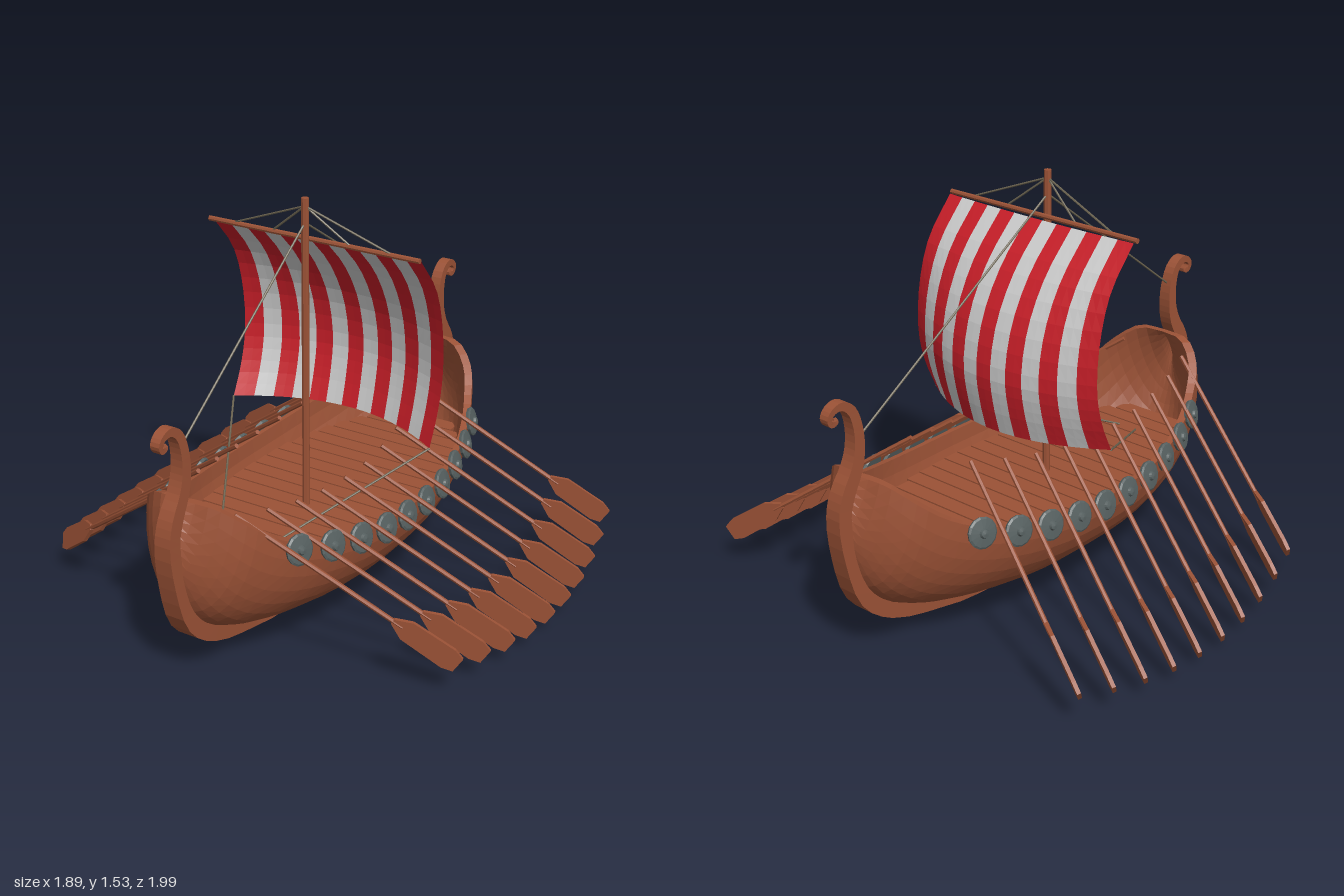
import * as THREE from 'three';

const mat = (color, side = THREE.FrontSide) => new THREE.MeshStandardMaterial({ color, side, flatShading: true });
const wood = mat(0x9b5236), hullWood = mat(0x9b5236, THREE.DoubleSide), iron = mat(0x566060), hemp = mat(0x6b6350);
const red = mat(0xc81e28, THREE.DoubleSide), white = mat(0xcccccc, THREE.DoubleSide);
const V = (x, y, z) => new THREE.Vector3(x, y, z);

function add(parent, name, geometry, material) {
  const mesh = new THREE.Mesh(geometry, material);
  mesh.name = name;
  parent.add(mesh);
  return mesh;
}

// Skin a list of cross-sections that share one point count
function loft(rows, closed) {
  const n = rows[0].length, index = [];
  for (let i = 0; i < rows.length - 1; i++) {
    for (let j = 0; j < (closed ? n : n - 1); j++) {
      const k = (j + 1) % n, a = i * n + j, b = i * n + k, c = a + n, d = b + n;
      index.push(a, b, c, b, d, c);
    }
  }
  const g = new THREE.BufferGeometry().setFromPoints(rows.flat());
  g.setIndex(index);
  g.computeVertexNormals();
  return g;
}

// Straight round bar between two points
function bar(parent, name, a, b, radius, material, sides = 6) {
  const mesh = add(parent, name, new THREE.CylinderGeometry(radius, radius, a.distanceTo(b), sides), material);
  mesh.position.copy(a).lerp(b, 0.5);
  mesh.quaternion.setFromUnitVectors(V(0, 1, 0), b.clone().sub(a).normalize());
  return mesh;
}

// Mirror a list of half-ship points to stern and bow, from z- to z+
const bothEnds = (half) => [...half.slice(1).reverse().map((p) => V(p.x, p.y, -p.z)), ...half];
const table = (rows, x) => {
  const i = Math.max(1, rows.findIndex((r) => r[0] >= x)), [a, b] = [rows[i - 1], rows[i]];
  return THREE.MathUtils.mapLinear(x, a[0], b[0], a[1], b[1]);
};

// Centreline and rim of the hull, amidships to bow, paired by station
const centre = bothEnds([V(0, 0.06, 0), V(0, 0.06, 0.25), V(0, 0.09, 0.5), V(0, 0.125, 0.66),
  V(0, 0.18, 0.78), V(0, 0.27, 0.87), V(0, 0.4, 0.92), V(0, 0.57, 0.945)]);
const rim = bothEnds([V(0.41, 0.42, 0), V(0.395, 0.43, 0.25), V(0.355, 0.46, 0.45), V(0.305, 0.5, 0.6),
  V(0.26, 0.55, 0.7), V(0.21, 0.62, 0.785), V(0.12, 0.685, 0.845), V(0, 0.69, 0.86)]);
const rimWidth = [[0, 0.41], [0.25, 0.395], [0.45, 0.355], [0.6, 0.305], [0.7, 0.26], [0.8, 0.2]];

function hullGeometry() {
  const kCurve = new THREE.CatmullRomCurve3(centre), rCurve = new THREE.CatmullRomCurve3(rim);
  const rows = [], stations = 36, steps = 9;
  for (let i = 0; i <= stations; i++) {
    const k = kCurve.getPoint(i / stations), r = rCurve.getPoint(i / stations);
    const section = (k0, r0) => {
      const out = [];
      for (let j = -steps; j <= steps; j++) {
        const a = (j / steps) * Math.PI / 2, p = k0.clone().lerp(r0, 1 - Math.cos(a));
        out.push(V(Math.max(r0.x, 0) * Math.sin(a), p.y, p.z));
      }
      return out;
    };
    const inner = section(V(0, k.y + 0.03, k.z * 0.97), V(r.x - 0.022, r.y, r.z * 0.97));
    rows.push([...section(k, r), ...inner.reverse()]);
  }
  return loft(rows, true);
}

// Keel, stems and scrolls: one rectangular bar [z, y, half width, half depth]
function keelGeometry() {
  const half = [[0, 0.03, 0.043, 0.03], [0.25, 0.032, 0.043, 0.03], [0.5, 0.065, 0.043, 0.03], [0.75, 0.135, 0.042, 0.03],
    [0.875, 0.235, 0.04, 0.03], [0.935, 0.41, 0.036, 0.028], [0.952, 0.57, 0.032, 0.028], [0.93, 0.65, 0.03, 0.03],
    [0.885, 0.73, 0.027, 0.027], [0.866, 0.8, 0.025, 0.023], [0.868, 0.88, 0.023, 0.02], [0.89, 0.945, 0.021, 0.018],
    [0.928, 0.974, 0.02, 0.015], [0.966, 0.968, 0.019, 0.012], [0.986, 0.943, 0.018, 0.01], [0.974, 0.922, 0.017, 0.01],
    [0.955, 0.926, 0.016, 0.01], [0.957, 0.942, 0.01, 0.004]];
  const path = new THREE.CatmullRomCurve3(bothEnds(half.map((p) => V(0, p[1], p[0]))));
  const size = new THREE.CatmullRomCurve3(bothEnds(half.map((p) => V(p[2], p[3], 0))));
  const rows = [], count = 102;
  for (let i = 0; i <= count; i++) {
    const p = path.getPoint(i / count), t = path.getTangent(i / count), s = size.getPoint(i / count);
    const corner = (a, b) => V(a * s.x, p.y + b * s.y * t.z, p.z - b * s.y * t.y);
    rows.push([corner(1, 1), corner(-1, 1), corner(-1, -1), corner(1, -1)]);
  }
  return loft(rows, true);
}

// Bellied sail in vertical stripes
function addSail(parent) {
  const sail = new THREE.Group();
  sail.name = 'sail';
  parent.add(sail);
  const heights = [1.365, 1.22, 1.05, 0.87, 0.74, 0.62];
  const curve = (zs) => new THREE.CatmullRomCurve3(heights.map((y, i) => V(0, y, zs[i])));
  const edge = curve([0.06, -0.06, -0.115, -0.125, -0.095, -0.04]);
  const belly = curve([0.045, -0.1, -0.2, -0.238, -0.222, -0.19]);
  for (let s = 0; s < 13; s++) {
    const rows = [];
    for (let i = 0; i <= 14; i++) {
      const e = edge.getPoint(i / 14), b = belly.getPoint(i / 14);
      rows.push([0, 0.5, 1].map((f) => {
        const u = ((s + f) / 13) * 2 - 1;
        return V(0.43 * u, (e.y + b.y) / 2, THREE.MathUtils.lerp(b.z, e.z, u * u));
      }));
    }
    add(sail, 'sailStripe', loft(rows, false), s % 2 ? white : red);
  }
}

// Oar along +y from its grip, blade flat to local z
const oarLength = 0.91;
const bladeShape = new THREE.Shape([[-0.01, 0.64], [0.01, 0.64], [0.04, 0.7], [0.043, 0.87], [0.03, oarLength],
  [-0.03, oarLength], [-0.043, 0.87], [-0.04, 0.7]].map((p) => new THREE.Vector2(...p)));
const bladeGeometry = new THREE.ExtrudeGeometry(bladeShape, { depth: 0.014, bevelEnabled: false }).translate(0, 0, -0.007);
const shaftGeometry = new THREE.CylinderGeometry(0.009, 0.009, 0.68, 6).translate(0, 0.34, 0);

function addOar(parent, start, direction, normal) {
  const oar = new THREE.Group();
  oar.name = 'oar';
  add(oar, 'oarShaft', shaftGeometry, wood);
  add(oar, 'oarBlade', bladeGeometry, wood);
  const y = direction.clone().normalize(), x = y.clone().cross(normal).normalize();
  oar.quaternion.setFromRotationMatrix(new THREE.Matrix4().makeBasis(x, y, x.clone().cross(y)));
  oar.position.copy(start);
  parent.add(oar);
}

// Shallow round shield facing +y with a central boss
const shieldGeometry = new THREE.LatheGeometry([[0, -0.008], [0.054, -0.008], [0.057, 0.003], [0.05, 0.008], [0.018, 0.012],
  [0.014, 0.021], [0, 0.024]].map((p) => new THREE.Vector2(...p)), 14);

export function createModel() {
  const model = new THREE.Group();
  model.name = 'longship';
  const ship = new THREE.Group();
  ship.name = 'ship';
  ship.position.x = -0.01;
  model.add(ship);

  add(ship, 'hull', hullGeometry(), hullWood);
  add(ship, 'keelAndStems', keelGeometry(), wood);

  // Deck planks laid across the hull
  const deckWidth = [[0, 0.365], [0.25, 0.35], [0.5, 0.295], [0.66, 0.225], [0.755, 0.165], [0.85, 0.09]];
  for (let i = 0; i < 22; i++) {
    const z = (i - 10.5) * 0.0735;
    const plank = add(ship, 'deckPlank', new THREE.BoxGeometry(2 * table(deckWidth, Math.abs(z)), 0.02, 0.066), wood);
    plank.position.set(0, 0.33, z);
  }

  // Mast, yard and sail
  bar(ship, 'mast', V(0, 0.32, 0.113), V(0, 1.53, 0.113), 0.014, wood, 8);
  bar(ship, 'yard', V(-0.435, 1.37, 0.075), V(0.435, 1.37, 0.075), 0.01, wood, 8);
  addSail(ship);

  // Rigging
  bar(ship, 'forestay', V(0, 1.44, 0.113), V(0, 0.89, 0.86), 0.004, hemp);
  bar(ship, 'backstay', V(0, 1.44, 0.113), V(0, 0.82, -0.86), 0.004, hemp);
  for (const side of [1, -1]) {
    for (const x of [0.165, 0.335]) bar(ship, 'yardLift', V(0, 1.5, 0.113), V(side * x, 1.37, 0.075), 0.004, hemp);
    bar(ship, 'sheet', V(side * 0.43, 0.62, -0.04), V(side * 0.04, 0.34, 0.62), 0.004, hemp);
  }

  // Ten shields and ten oars on each side
  for (const side of [1, -1]) {
    for (let i = 0; i < 10; i++) {
      const z = 0.627 - i * 0.1358, w = table(rimWidth, Math.abs(z));
      const rise = 0.085 * (z / 0.62) ** 2;
      const shield = add(ship, 'shield', shieldGeometry, iron);
      shield.position.set(side * (w + 0.012), 0.4 + rise, z);
      shield.quaternion.setFromUnitVectors(V(0, 1, 0), V(side, 0.25, 0.45 * z).normalize());

      const grip = 0.77 - i * 0.1367, pass = Math.abs(grip - 0.155) / 0.615;
      const start = V(side * (0.235 - 0.09 * pass ** 2), 0.565 + 0.075 * pass ** 2, grip);
      if (side > 0) addOar(ship, start, V(0.69, -0.51, -0.3), V(0.4, 0, 0.92));
      else addOar(ship, start, V(-0.69, -0.51, -0.25), V(-0.52, 0.32, 0.79));
    }
  }
  return model;
}
